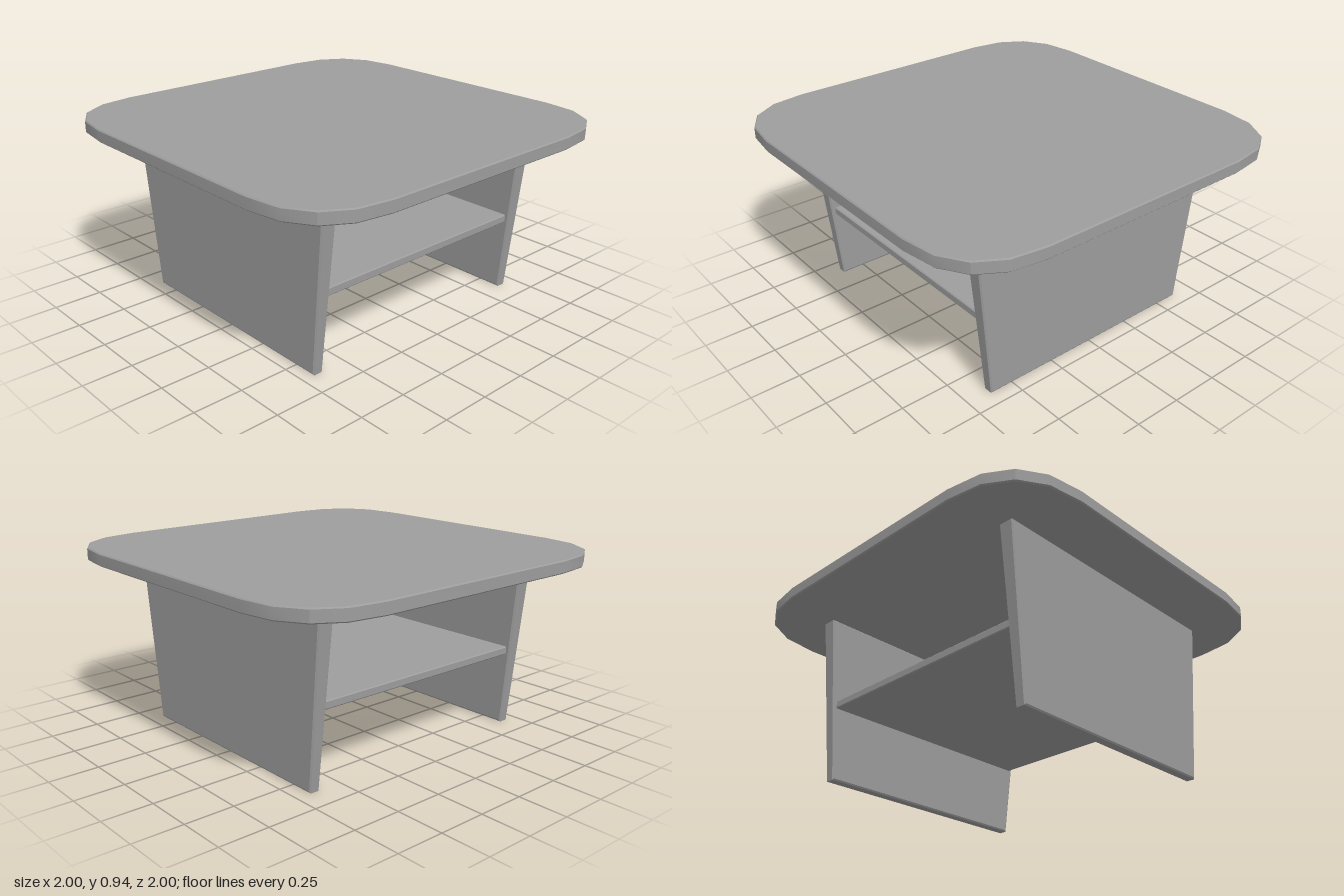
import * as THREE from 'three';
import { toCreasedNormals } from 'three/addons/utils/BufferGeometryUtils.js';

const material = new THREE.MeshStandardMaterial({ color: 0x9d9d9d });

// Chamfered slab: an outline in XY, centred thickness along Z
function slab(points, thickness, bevel) {
  const shape = new THREE.Shape(points.map(([x, y]) => new THREE.Vector2(x, y)));
  const geometry = new THREE.ExtrudeGeometry(shape, {
    depth: thickness - 2 * bevel,
    bevelEnabled: true,
    bevelSegments: 1,
    bevelSize: bevel,
    bevelThickness: bevel,
    bevelOffset: -bevel,
  });
  return geometry.translate(0, 0, bevel - thickness / 2);
}

function part(name, geometry) {
  const mesh = new THREE.Mesh(toCreasedNormals(geometry, 0.42), material);
  mesh.name = name;
  return mesh;
}

// Square outline with wide rounded corners, one corner turned four times
function topOutline() {
  const corner = [[1, 0.585], [0.974, 0.765], [0.895, 0.895], [0.765, 0.974], [0.585, 1]];
  const points = [];
  for (let i = 0; i < 4; i++) {
    const c = Math.round(Math.cos(i * Math.PI / 2));
    const s = Math.round(Math.sin(i * Math.PI / 2));
    for (const [x, y] of corner) points.push([x * c - y * s, x * s + y * c]);
  }
  return points;
}

// Panel leg that narrows towards the floor in both width and thickness
function legGeometry() {
  const height = 0.88, topThick = 0.084, footThick = 0.053;
  const outline = [[-0.625, 0], [0.625, 0], [0.715, height], [-0.715, height]];
  const geometry = slab(outline, topThick, 0.008).rotateY(Math.PI / 2);
  const pos = geometry.attributes.position;
  for (let i = 0; i < pos.count; i++) {
    const taper = THREE.MathUtils.lerp(footThick / topThick, 1, pos.getY(i) / height);
    pos.setX(i, pos.getX(i) * taper);
  }
  return geometry;
}

export function createModel() {
  const model = new THREE.Group();
  model.name = 'coffeeTable';

  // Table top
  const top = part('tableTop', slab(topOutline(), 0.066, 0.006).rotateX(-Math.PI / 2));
  top.position.y = 0.909;
  model.add(top);

  // Panel legs
  for (const [name, x] of [['leftLeg', 0.65], ['rightLeg', -0.663]]) {
    const leg = part(name, legGeometry());
    leg.position.x = x;
    model.add(leg);
  }

  // Shelf between the legs
  const shelfOutline = [[-0.635, -0.645], [0.623, -0.645], [0.623, 0.645], [-0.635, 0.645]];
  const shelf = part('shelf', slab(shelfOutline, 0.042, 0.005).rotateX(-Math.PI / 2));
  shelf.position.y = 0.404;
  model.add(shelf);

  return model;
}
